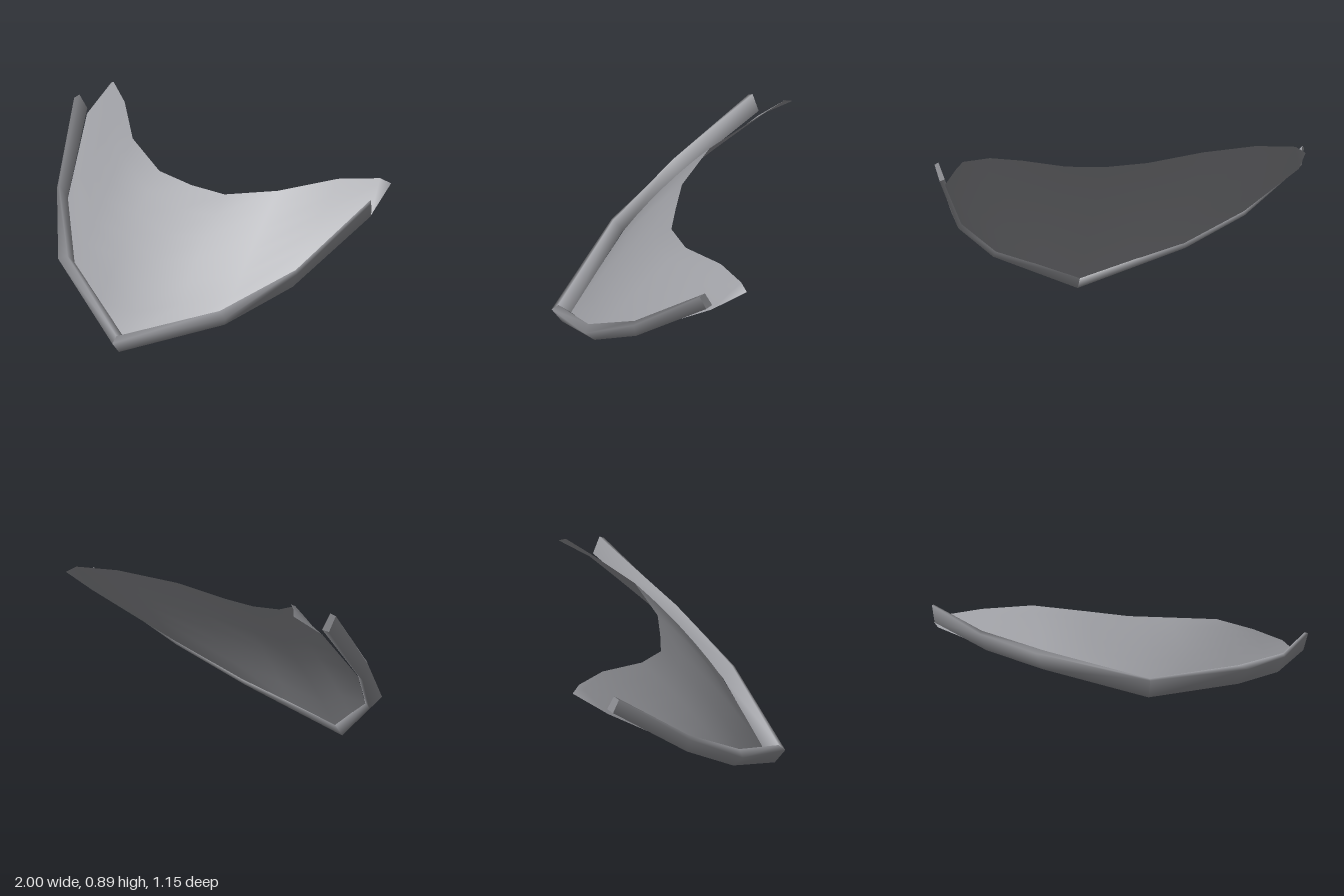
import * as THREE from 'three';

// Builds a surface from rows of stations; each station is a list of [x, y, z] points
function loft(stations, closed) {
  const n = stations[0].length;
  const index = [];
  for (let j = 0; j < stations.length - 1; j++) {
    for (let i = 0; i < (closed ? n : n - 1); i++) {
      const k = (i + 1) % n;
      const a = j * n + i, b = (j + 1) * n + i, c = (j + 1) * n + k, d = j * n + k;
      index.push(a, b, c, a, c, d);
    }
  }
  const geometry = new THREE.BufferGeometry();
  geometry.setAttribute('position', new THREE.Float32BufferAttribute(stations.flat(2), 3));
  geometry.setIndex(index);
  geometry.computeVertexNormals();
  return geometry;
}

const mirror = (station) => station.map(([x, y, z]) => [-x, y, z]);

// Four-sided rim sections from the front tip to the left end:
// outer top, inner top, inner bottom, outer bottom
const RIM = [
  [[0, 0.07, 0.575], [0, 0.1, 0.54], [0, 0.06, 0.472], [0, 0, 0.52]],
  [[0.565, 0.295, 0.33], [0.515, 0.322, 0.315], [0.51, 0.265, 0.262], [0.52, 0.23, 0.282]],
  [[0.81, 0.52, 0.04], [0.8, 0.543, 0.035], [0.765, 0.465, 0.005], [0.775, 0.435, 0.03]],
  [[1, 0.845, -0.335], [0.985, 0.86, -0.36], [0.96, 0.775, -0.395], [0.98, 0.76, -0.365]],
];

// Panel ribs from the middle to the left corner: lower point, upper point, outward bulge
const RIBS = [
  [[0, 0.06, 0.472], [0, 0.745, -0.08], 0.03],
  [[0.25, 0.16, 0.37], [0.22, 0.757, -0.085], 0.028],
  [[0.51, 0.26, 0.262], [0.49, 0.82, -0.195], 0.02],
  [[0.765, 0.462, 0.005], [0.72, 0.88, -0.41], 0],
  [[0.958, 0.745, -0.39], [0.9, 0.89, -0.54], 0],
  [[0.945, 0.86, -0.575], [0.943, 0.862, -0.574], 0],
];

function rib([low, high, bulge]) {
  const rows = 6;
  return Array.from({ length: rows + 1 }, (_, i) => {
    const t = i / rows;
    const out = bulge * 4 * t * (1 - t);
    return [
      low[0] + (high[0] - low[0]) * t,
      low[1] + (high[1] - low[1]) * t + out * 0.63,
      low[2] + (high[2] - low[2]) * t + out * 0.78,
    ];
  });
}

export function createModel() {
  const group = new THREE.Group();
  const grey = new THREE.MeshStandardMaterial({ color: 0x9c9da2, side: THREE.DoubleSide });
  grey.name = 'grey';

  const add = (geometry, name) => {
    const mesh = new THREE.Mesh(geometry, grey);
    mesh.name = name;
    group.add(mesh);
  };

  // Curved panel
  const half = RIBS.map(rib);
  add(loft([...half.slice(1).reverse().map(mirror), ...half], false), 'curvedPanel');

  // Rim halves, meeting in a sharp corner at the front tip
  const rightRim = RIM.map(mirror).reverse();
  add(loft(RIM, true), 'leftRim');
  add(loft(rightRim, true), 'rightRim');

  // Flat rim ends
  const cap = ([a, b, c, d], name) => add(loft([[a, d], [b, c]], false), name);
  const end = RIM[RIM.length - 1];
  cap(end, 'leftRimEnd');
  cap([...rightRim[0]].reverse(), 'rightRimEnd');

  return group;
}
